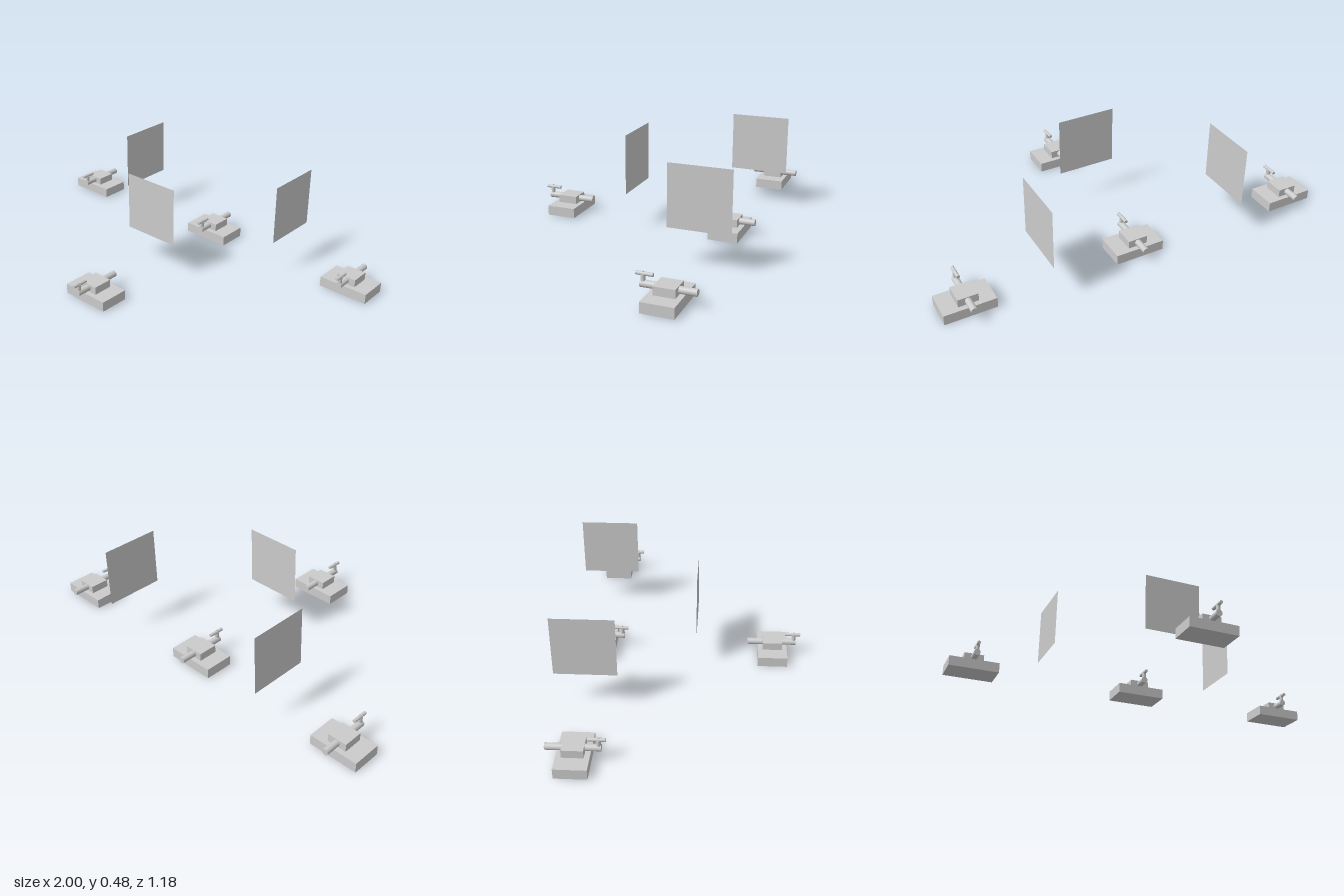
import * as THREE from 'three';

const material = new THREE.MeshStandardMaterial({ color: 0xcccccc });
const panelMaterial = new THREE.MeshStandardMaterial({ color: 0xcccccc, side: THREE.DoubleSide });

function add(parent, name, geometry, x, y, z, mat = material) {
  const mesh = new THREE.Mesh(geometry, mat);
  mesh.name = name;
  mesh.position.set(x, y, z);
  parent.add(mesh);
  return mesh;
}

// Cylinder lying along z between two z positions
function rod(parent, name, radius, y, z0, z1) {
  const geometry = new THREE.CylinderGeometry(radius, radius, z1 - z0, 24).rotateX(Math.PI / 2);
  return add(parent, name, geometry, 0, y, (z0 + z1) / 2);
}

// Valve-like unit: plinth, block, through pipe and a T-shaped handle
function createUnit() {
  const unit = new THREE.Group();
  unit.name = 'unit';
  add(unit, 'base', new THREE.BoxGeometry(0.25, 0.05, 0.148), 0, 0.025, 0);
  add(unit, 'block', new THREE.BoxGeometry(0.098, 0.039, 0.098), 0, 0.0695, 0);
  rod(unit, 'frontPipe', 0.016, 0.071, 0.04, 0.12);
  rod(unit, 'rearPipe', 0.016, 0.07, -0.127, -0.04);
  add(unit, 'handlePost', new THREE.CylinderGeometry(0.0105, 0.0105, 0.045, 20), 0, 0.092, 0.109);
  rod(unit, 'handleBar', 0.0085, 0.115, 0.064, 0.141);
  add(unit, 'handleCap', new THREE.CylinderGeometry(0.005, 0.005, 0.012, 16), 0, 0.119, 0.109);
  return unit;
}

export function createModel() {
  const model = new THREE.Group();
  model.name = 'unitsAndPanels';

  // Three units in the back row and one in front
  for (const [x, z] of [[-0.875, -0.436], [0.019, -0.436], [0.875, -0.436], [-0.003, 0.449]]) {
    const unit = createUnit();
    unit.position.set(x, 0, z);
    model.add(unit);
  }

  // Floating square panels between neighbouring units
  const square = new THREE.PlaneGeometry(0.3, 0.3);
  for (const x of [-0.495, 0.508]) {
    add(model, 'sidePanel', square, x, 0.33, -0.438, panelMaterial).rotation.y = Math.PI / 2;
  }
  add(model, 'middlePanel', square, 0.006, 0.33, 0.064, panelMaterial);
  return model;
}
